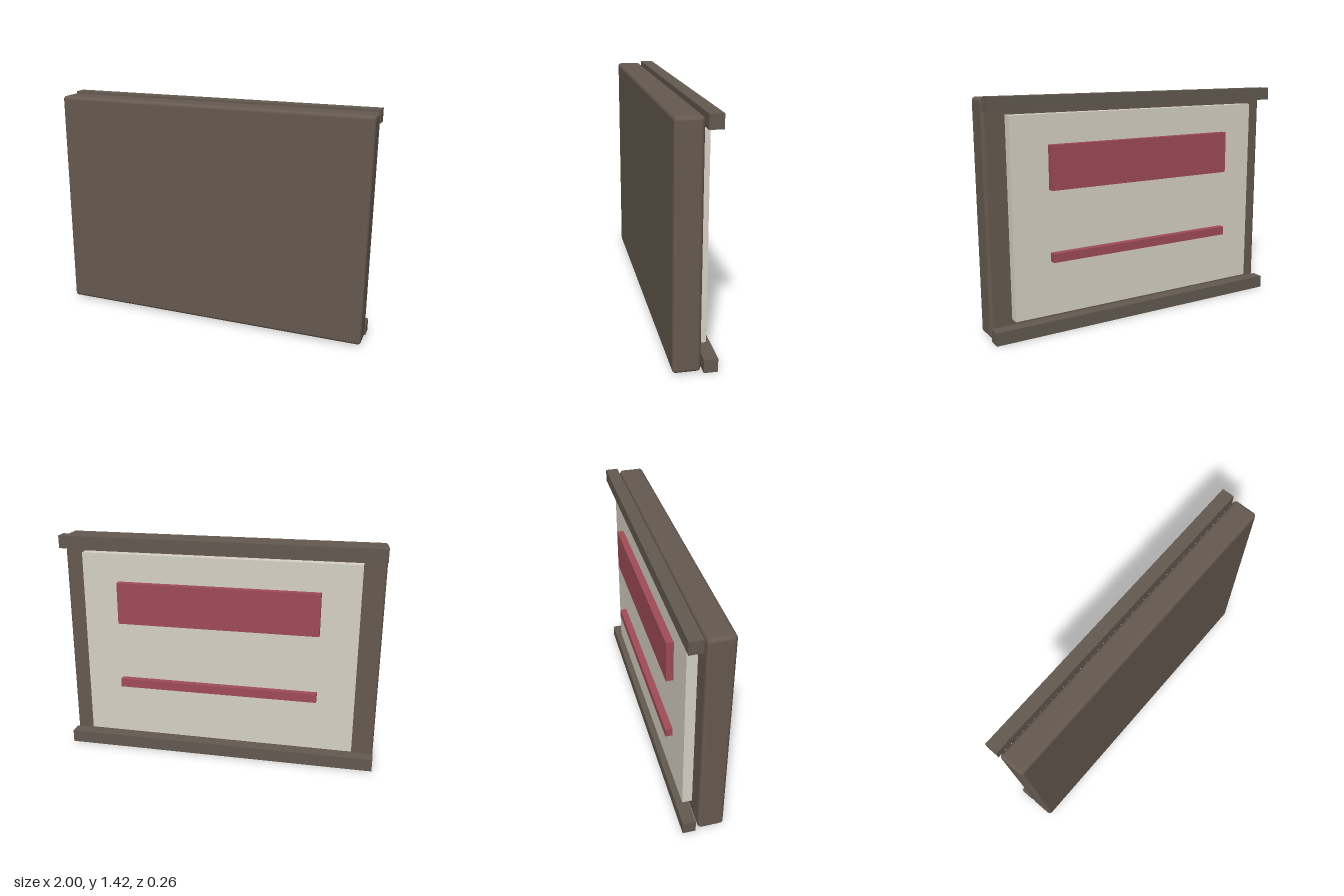
import * as THREE from 'three';
import { RoundedBoxGeometry } from 'three/addons/geometries/RoundedBoxGeometry.js';

const brown = new THREE.MeshStandardMaterial({ color: 0x665a50 });
const railBrown = new THREE.MeshStandardMaterial({ color: 0x645a50 });
const cream = new THREE.MeshStandardMaterial({ color: 0xd8d2c5 });
const red = new THREE.MeshStandardMaterial({ color: 0xa04c58 });

export function createModel() {
  const group = new THREE.Group();

  // Box given by its width, vertical range and depth range; radius rounds its edges
  function addBox(name, material, width, [y0, y1], [z0, z1], radius = 0) {
    const size = [width, y1 - y0, z1 - z0];
    const geometry = radius
      ? new RoundedBoxGeometry(...size, 4, radius)
      : new THREE.BoxGeometry(...size);
    const mesh = new THREE.Mesh(geometry, material);
    mesh.name = name;
    mesh.position.set(0, (y0 + y1) / 2, (z0 + z1) / 2);
    group.add(mesh);
  }

  // Softly rounded main slab
  addBox('slab', brown, 2, [0.01, 1.408], [-0.027, 0.13], 0.022);

  // Pale panel on the back
  addBox('backPanel', cream, 1.73, [0.108, 1.311], [-0.087, -0.026]);

  // Raised red bands on the panel
  addBox('wideBand', red, 1.265, [0.872, 1.136], [-0.13, -0.087]);
  addBox('narrowBand', red, 1.265, [0.442, 0.496], [-0.13, -0.087]);

  // Rails along the top and bottom of the back
  addBox('topRail', railBrown, 2, [1.338, 1.417], [-0.121, -0.042]);
  addBox('bottomRail', railBrown, 2, [0, 0.08], [-0.121, -0.042]);

  return group;
}
